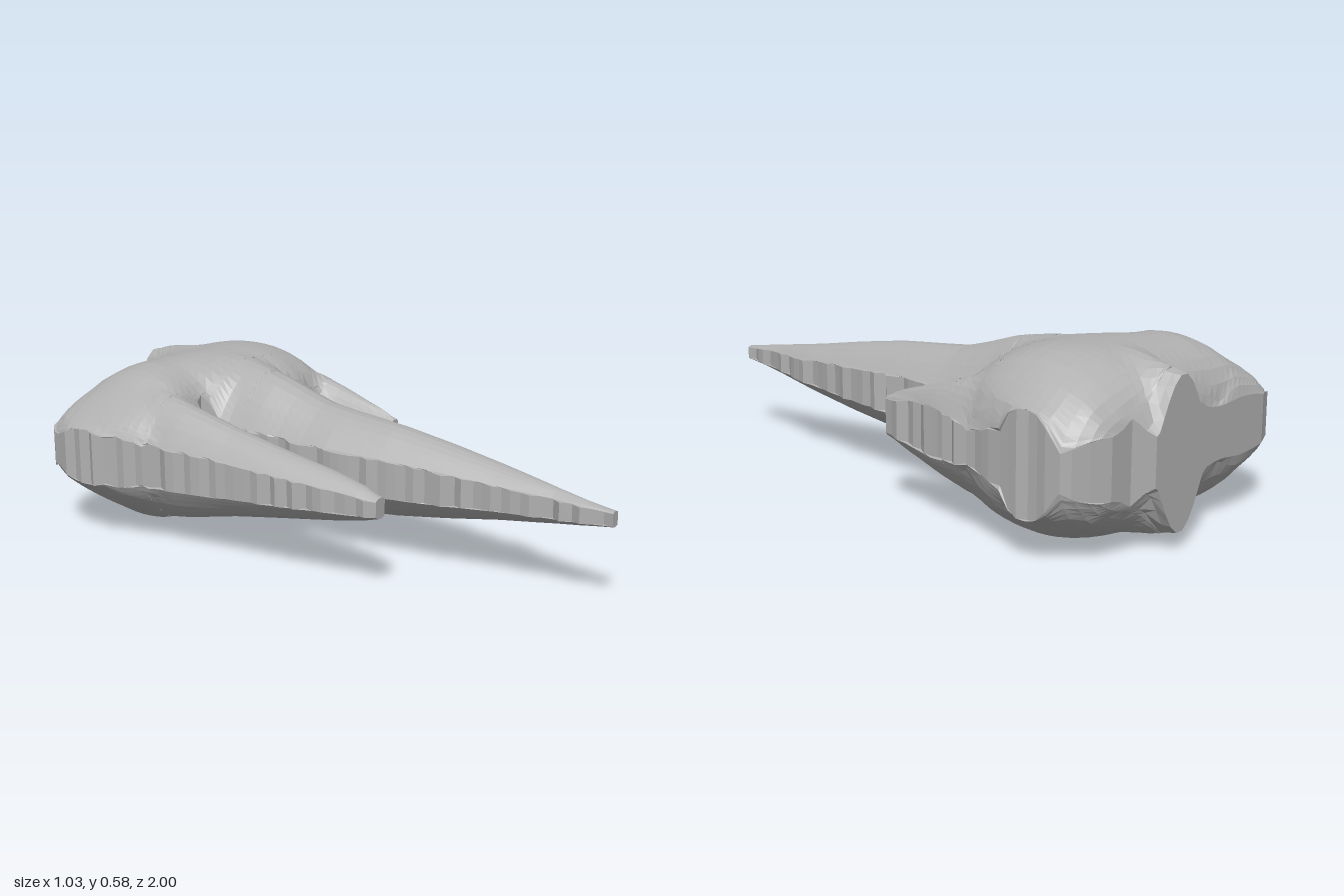
import * as THREE from 'three';

const MID = 0.287;  // height of the mirror plane

// Cross-sections of each mass: [position, low, high, halfHeight, wallFraction]
// The body is measured along x, the spikes along z
const BODY = [
  [-0.51, -0.83, -0.65, 0.09, 0.7],
  [-0.49, -0.89, -0.58, 0.11, 0.6],
  [-0.45, -0.93, -0.48, 0.145, 0.5],
  [-0.4, -0.95, -0.42, 0.185, 0.42],
  [-0.28, -0.95, -0.42, 0.26, 0.32],
  [-0.2, -0.94, -0.46, 0.276, 0.3],
  [-0.15, -0.94, -0.46, 0.277, 0.3],
  [-0.08, -0.95, -0.4, 0.282, 0.3],
  [0.02, -0.97, -0.32, 0.288, 0.33],
  [0.18, -0.98, -0.32, 0.291, 0.33],
  [0.25, -0.96, -0.35, 0.285, 0.33],
  [0.32, -0.95, -0.36, 0.267, 0.35],
  [0.4, -0.94, -0.42, 0.226, 0.4],
  [0.46, -0.9, -0.52, 0.178, 0.5],
  [0.495, -0.86, -0.63, 0.155, 0.6],
  [0.51, -0.83, -0.66, 0.168, 0.3],
];
const MIDDLE = [
  [-1, -0.02, 0.23, 0.24, 0.1],
  [-0.92, -0.05, 0.26, 0.26, 0.15],
  [-0.8, -0.14, 0.32, 0.28, 0.25],
  [-0.62, -0.2, 0.33, 0.287, 0.3],
  [-0.5, -0.17, 0.3, 0.278, 0.3],
  [-0.4, -0.15, 0.24, 0.262, 0.3],
  [-0.3, -0.14, 0.21, 0.242, 0.32],
  [-0.2, -0.13, 0.2, 0.21, 0.35],
  [-0.1, -0.125, 0.19, 0.182, 0.38],
  [0, -0.12, 0.18, 0.172, 0.4],
  [0.2, -0.09, 0.155, 0.155, 0.4],
  [0.4, -0.06, 0.14, 0.125, 0.42],
  [0.6, -0.03, 0.12, 0.09, 0.45],
  [0.8, 0, 0.075, 0.06, 0.5],
  [0.9, 0.005, 0.06, 0.045, 0.55],
  [1, 0.02, 0.05, 0.03, 0.6],
];
const RIGHT = [
  [-0.75, -0.46, -0.15, 0.2, 0.3],
  [-0.55, -0.46, -0.15, 0.225, 0.3],
  [-0.4, -0.445, -0.2, 0.195, 0.34],
  [-0.2, -0.42, -0.22, 0.15, 0.4],
  [0, -0.4, -0.235, 0.115, 0.42],
  [0.2, -0.375, -0.25, 0.082, 0.45],
  [0.32, -0.36, -0.27, 0.058, 0.5],
  [0.39, -0.345, -0.3, 0.038, 0.55],
];
const LEFT = [
  [-0.75, 0.25, 0.47, 0.19, 0.35],
  [-0.55, 0.25, 0.465, 0.205, 0.38],
  [-0.4, 0.265, 0.44, 0.18, 0.45],
  [-0.3, 0.295, 0.42, 0.15, 0.55],
  [-0.2, 0.315, 0.395, 0.12, 0.65],
  [-0.06, 0.34, 0.37, 0.085, 0.65],
];

// Half height of one mass at t along it and u across it; profile rounds its crown
function dome(sections, t, u, profile) {
  const last = sections.length - 1;
  if (t < sections[0][0]) return 0;
  const end = Math.min(t, sections[last][0]);
  let i = 0;
  while (i < last - 1 && end > sections[i + 1][0]) i++;
  const a = sections[i], b = sections[i + 1];
  const f = (end - a[0]) / (b[0] - a[0]);
  const [, lo, hi, half, wall] = a.map((v, j) => v + (b[j] - v) * f);
  const s = Math.abs((2 * u - lo - hi) / (hi - lo));
  if (s > 1) return half * wall * Math.max(0, 1 - (s - 1) * 2);
  return half * (wall + (1 - wall) * profile(s));
}
const round = (s) => Math.sqrt(1 - s * s);
const pointed = (s) => 1 - s ** 1.9;

function rawHeight(x, z) {
  const bx = THREE.MathUtils.clamp(x, -0.51, 0.51);
  const mz = Math.max(z, -1);
  return Math.max(
    0.015,
    dome(BODY, bx, z, round),
    dome(MIDDLE, mz, x, pointed),
    dome(RIGHT, z, x, pointed),
    dome(LEFT, z, x, pointed),
  );
}

// Merged half height of the whole shape, softened where masses meet
function halfHeight(x, z) {
  const d = 0.022;
  const around = rawHeight(x - d, z) + rawHeight(x + d, z) + rawHeight(x, z - d) + rawHeight(x, z + d);
  return (around + 2 * rawHeight(x, z)) / 6;
}

// Subdivide spans [z, left edge, right edge]
function refine(spans, step) {
  const out = [];
  for (let i = 0; i < spans.length - 1; i++) {
    const a = spans[i], b = spans[i + 1];
    const n = Math.max(1, Math.round((b[0] - a[0]) / step));
    for (let k = 0; k < n; k++) out.push(a.map((v, j) => v + ((b[j] - v) * k) / n));
  }
  out.push(spans[spans.length - 1]);
  return out;
}

// Skin over a run of spans: upper and lower sheets with rough walls at the edges
function skin(spans, arc, capStart, capEnd, seed) {
  const noise = () => {
    seed = (seed * 16807) % 2147483647;
    return (seed / 2147483647 - 0.5) * 0.03;
  };
  const rows = refine(spans, 0.035);
  const ring = arc * 2;
  const pos = [], idx = [];
  rows.forEach(([z, lo, hi], r) => {
    const inner = r > 0 && r < rows.length - 1;
    const shift = inner ? [noise(), noise()] : [0, 0];
    for (let j = 0; j < ring; j++) {
      const top = j < arc;
      const k = top ? j : ring - 1 - j;
      const x = (lo + hi) / 2 + ((hi - lo) / 2) * Math.cos((Math.PI * k) / (arc - 1));
      const y = halfHeight(x, z) * (top ? 1 : -1);
      const edge = k === 0 ? shift[0] : k === arc - 1 ? shift[1] : 0;
      pos.push(x + edge, MID + y, z);
    }
  });
  for (let i = 0; i < rows.length - 1; i++) {
    for (let j = 0; j < ring; j++) {
      const k = (j + 1) % ring;
      const a = i * ring + j, b = i * ring + k, c = b + ring, d = a + ring;
      idx.push(a, b, c, a, c, d);
    }
  }
  // Upright end faces
  const cap = (row, back) => {
    for (let j = 0; j < arc - 1; j++) {
      const a = row * ring + j, b = a + 1;
      const d = row * ring + ring - 1 - j, c = d - 1;
      if (back) idx.push(a, c, b, a, d, c);
      else idx.push(a, b, c, a, c, d);
    }
  };
  if (capStart) cap(0, true);
  if (capEnd) cap(rows.length - 1, false);
  const indexed = new THREE.BufferGeometry();
  indexed.setAttribute('position', new THREE.Float32BufferAttribute(pos, 3));
  indexed.setIndex(idx);
  const flat = indexed.toNonIndexed();
  flat.computeVertexNormals();
  return flat;
}

export function createModel() {
  const group = new THREE.Group();
  const grey = new THREE.MeshStandardMaterial({ color: 0xb0b0b0, side: THREE.DoubleSide, flatShading: true });
  grey.name = 'stone grey';

  const add = (name, ...args) => {
    const mesh = new THREE.Mesh(skin(...args), grey);
    mesh.name = name;
    group.add(mesh);
  };
  const beyond = (sections, z) => sections.filter((s) => s[0] > z).map((s) => s.slice(0, 3));

  // Tall lip at the rear
  add('rearLip', [[-1, -0.02, 0.23], [-0.975, -0.03, 0.25], [-0.95, -0.06, 0.28]], 14, true, false, 7);

  // Broad mass
  add('body', [
    [-0.95, -0.41, 0.37], [-0.94, -0.43, 0.41],
    [-0.925, -0.46, 0.44], [-0.9, -0.49, 0.475], [-0.87, -0.5, 0.5], [-0.82, -0.51, 0.505],
    [-0.65, -0.505, 0.505], [-0.6, -0.485, 0.49], [-0.5, -0.465, 0.475],
  ], 44, true, false, 11);

  // Front of the body, where the middle and left spikes are still joined
  add('spikeRoot', [
    [-0.5, -0.175, 0.475], [-0.485, -0.155, 0.47], [-0.44, -0.15, 0.455], [-0.37, -0.145, 0.44],
  ], 32, false, false, 17);

  // Long middle, medium right and short left spikes
  add('middleSpike', [[-0.37, -0.145, 0.26], [-0.355, -0.143, 0.225], ...beyond(MIDDLE, -0.31)], 16, false, true, 23);
  add('rightSpike', [[-0.5, -0.465, -0.175], [-0.485, -0.455, -0.205], ...beyond(RIGHT, -0.45)], 16, false, true, 37);
  add('leftSpike', [[-0.37, 0.26, 0.44], [-0.355, 0.28, 0.435], ...beyond(LEFT, -0.31)], 16, false, true, 53);

  return group;
}
